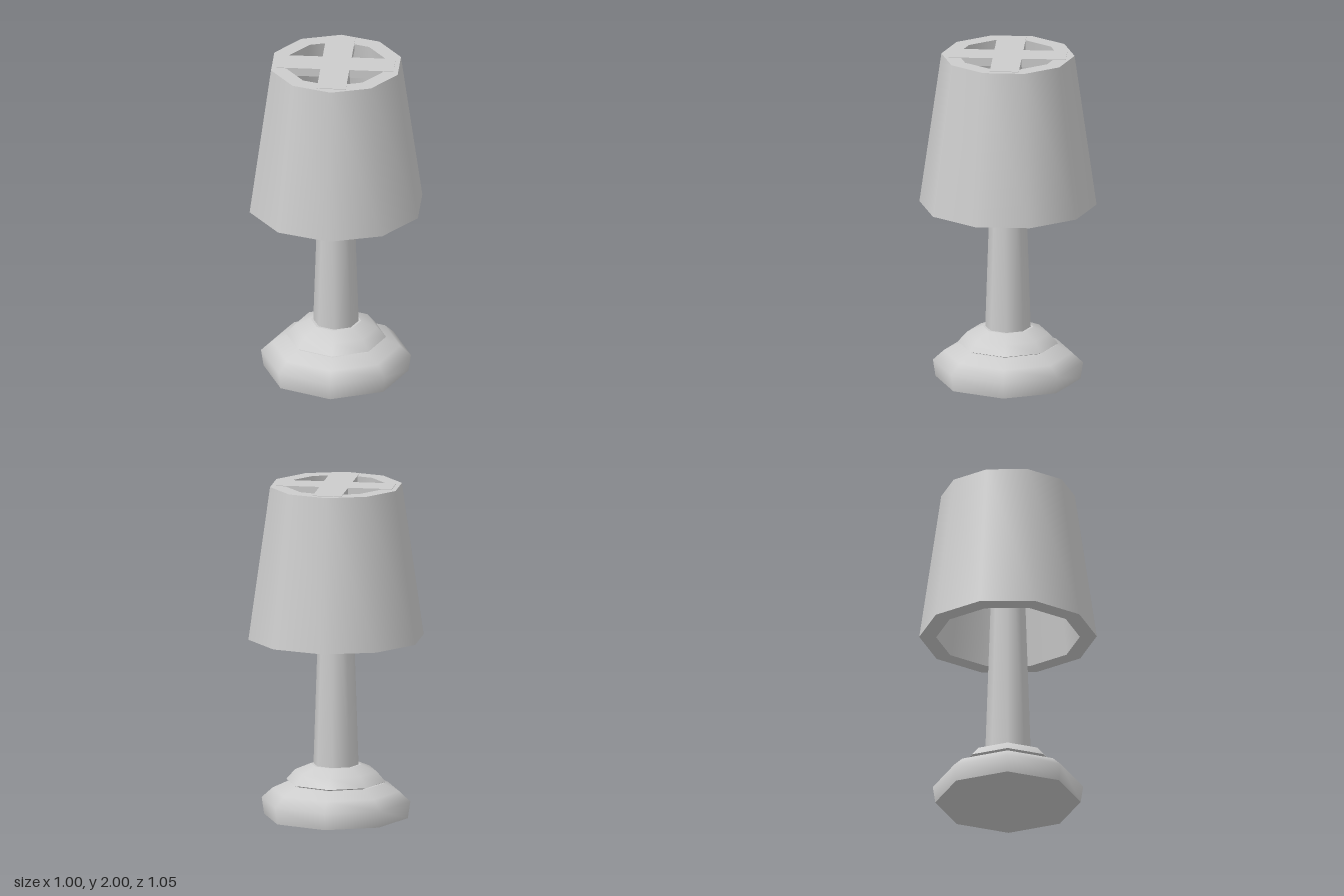
import * as THREE from 'three';
import { mergeGeometries } from 'three/addons/utils/BufferGeometryUtils.js';

// Each run is a profile [radius, y] turned smoothly; edges between runs stay sharp.
function turned(name, sides, runs, material) {
  const parts = runs.map(run =>
    new THREE.LatheGeometry(run.map(([r, y]) => new THREE.Vector2(r, y)), sides));
  const mesh = new THREE.Mesh(mergeGeometries(parts), material);
  mesh.name = name;
  return mesh;
}

export function createModel() {
  const lamp = new THREE.Group();
  lamp.name = 'tableLamp';
  const grey = new THREE.MeshStandardMaterial({ color: 0xcccccc });
  grey.name = 'light grey';

  // Octagonal foot with a domed top
  lamp.add(turned('foot', 8, [
    [[0, 0], [0.43, 0]],
    [[0.43, 0], [0.445, 0.1], [0.38, 0.16], [0.285, 0.205]],
    [[0.285, 0.205], [0, 0.205]],
  ], grey));

  // Smaller dome on the foot
  lamp.add(turned('collar', 8, [
    [[0.265, 0.203], [0.297, 0.215]],
    [[0.297, 0.215], [0.245, 0.275], [0.15, 0.315]],
    [[0.15, 0.315], [0, 0.315]],
  ], grey));

  // Tapered stem reaching up to the cross bars
  lamp.add(turned('stem', 8, [
    [[0, 0.312], [0.135, 0.312]],
    [[0.135, 0.312], [0.08, 1.97]],
  ], grey));

  // Ten-sided shade with thick walls, open at both ends
  const corners = [[0.425, 1.077], [0.525, 1.08], [0.395, 1.997], [0.3, 1.997]];
  lamp.add(turned('shade', 10,
    corners.map((p, i) => [p, corners[(i + 1) % corners.length]]), grey));

  // Cross bars holding the shade
  const cross = new THREE.Shape();
  const a = 0.086, b = 0.347;
  [[a, a], [a, b], [-a, b], [-a, a], [-b, a], [-b, -a], [-a, -a], [-a, -b], [a, -b], [a, -a], [b, -a], [b, a]]
    .forEach(([x, y], i) => (i ? cross.lineTo(x, y) : cross.moveTo(x, y)));
  const barGeometry = new THREE.ExtrudeGeometry(cross, { depth: 0.05, bevelEnabled: false });
  barGeometry.rotateX(-Math.PI / 2);
  const bars = new THREE.Mesh(barGeometry, grey);
  bars.name = 'crossBars';
  bars.position.y = 1.95;
  lamp.add(bars);

  return lamp;
}
